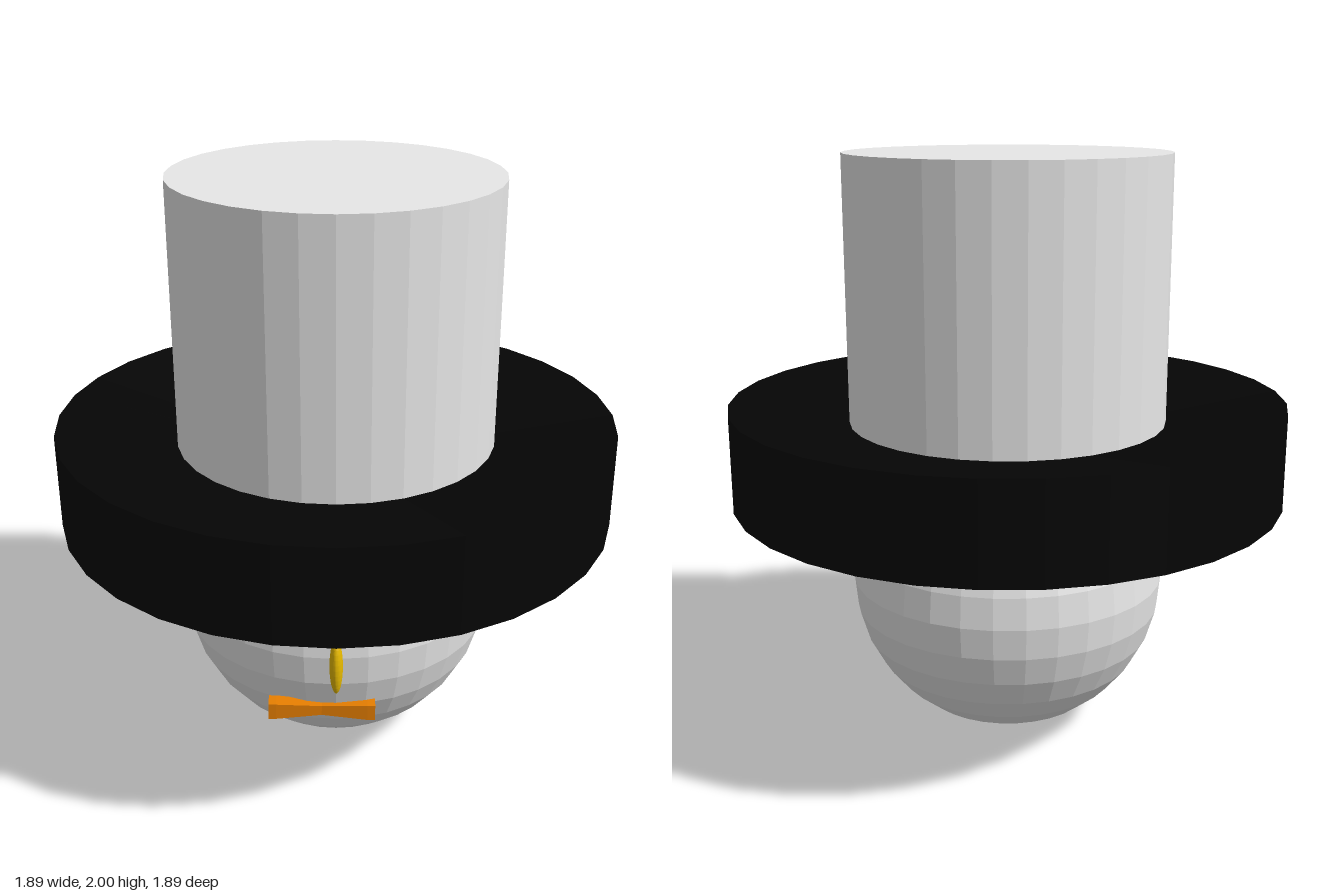
import * as THREE from 'three';

const material = (name, color) => {
  const m = new THREE.MeshStandardMaterial({ color, flatShading: true });
  m.name = name;
  return m;
};

export function createModel() {
  const white = material('white', 0xfafafa);
  const black = material('black', 0x050505);
  const gold = material('gold', 0xf8c800);
  const orange = material('orange', 0xff8c00);

  const model = new THREE.Group();
  model.name = 'hattedHead';

  const add = (parent, name, geometry, mat, x, y, z) => {
    const mesh = new THREE.Mesh(geometry, mat);
    mesh.name = name;
    mesh.position.set(x, y, z);
    parent.add(mesh);
    return mesh;
  };
  const ellipsoid = (rx, ry, rz) => new THREE.SphereGeometry(1, 32, 16).scale(rx, ry, rz);

  // Head
  add(model, 'head', ellipsoid(0.543, 0.543, 0.543), white, 0, 0.543, 0);

  // Hat brim: its top and underside both dip towards the middle
  const brimProfile = [[0.04, -0.007], [0.947, -0.163], [0.947, 0.163], [0.04, 0.007]]
    .map(([r, y]) => new THREE.Vector2(r, y));
  add(model, 'hatBrim', new THREE.LatheGeometry(brimProfile, 32), black, 0, 1.01, 0);

  // Hat crown, ending in the hollow beneath the brim
  add(model, 'hatCrown', new THREE.CylinderGeometry(0.543, 0.543, 1.095, 32), white, 0, 1.4525, 0);

  // Eyes, each with a large and a tiny highlight
  for (const [name, x] of [['rightEye', -0.206], ['leftEye', 0.18]]) {
    const eye = new THREE.Group();
    eye.name = name;
    eye.position.set(x, 0.718, 0.495);
    eye.rotation.x = -0.1;
    add(eye, 'eyeball', ellipsoid(0.088, 0.09, 0.036), black, 0, 0, 0);
    add(eye, 'highlight', ellipsoid(0.042, 0.042, 0.016), white, -0.021, 0.006, 0.027);
    add(eye, 'smallHighlight', ellipsoid(0.008, 0.008, 0.008), white, 0.011, -0.055, 0.028);
    model.add(eye);
  }

  // Nose
  add(model, 'nose', ellipsoid(0.022, 0.103, 0.031), gold, 0, 0.52, 0.551);

  // Mouth: a bar with square ends, narrowed at its waist
  const bar = new THREE.BoxGeometry(0.355, 0.057, 0.053, 14, 1, 1);
  const p = bar.attributes.position;
  for (let i = 0; i < p.count; i++) {
    const k = 0.62 + 0.38 * Math.min(1, Math.abs(p.getX(i)) / 0.152);
    p.setY(i, p.getY(i) * k);
    p.setZ(i, p.getZ(i) * k);
  }
  bar.computeVertexNormals();
  add(model, 'mouth', bar, orange, -0.048, 0.324, 0.503).rotation.z = -0.015;

  return model;
}
